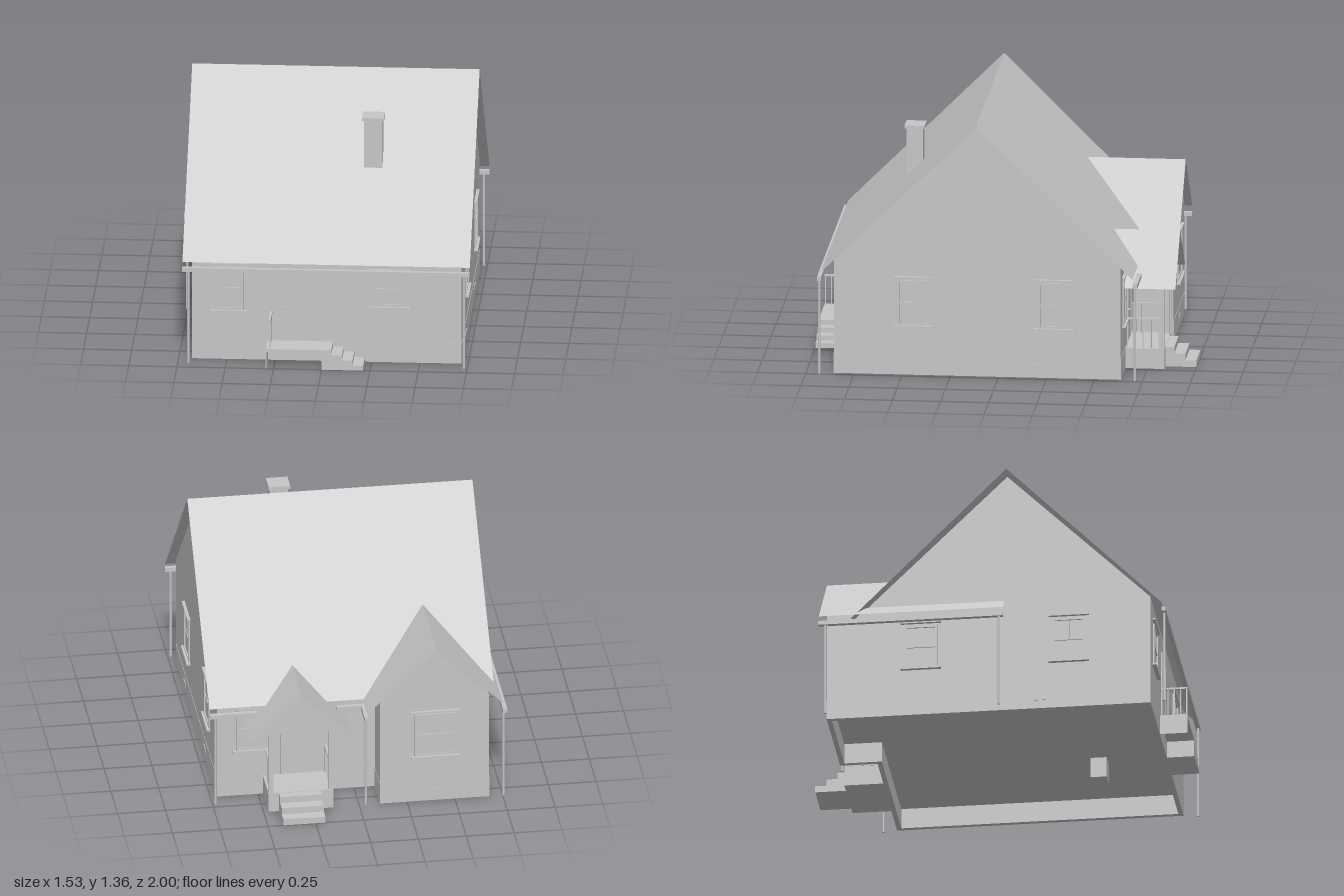
import * as THREE from 'three';

export function createModel() {
  const house = new THREE.Group();
  house.name = 'house';
  const grey = new THREE.MeshStandardMaterial({ color: 0xc6c6c6, side: THREE.DoubleSide });
  grey.name = 'plain grey';

  const add = (geometry, name, parent = house) => {
    const mesh = new THREE.Mesh(geometry, grey);
    mesh.name = name;
    parent.add(mesh);
    return mesh;
  };
  // box given by its lower and upper limits on each axis
  const box = (name, x0, x1, y0, y1, z0, z1, parent) => {
    const g = new THREE.BoxGeometry(x1 - x0, y1 - y0, z1 - z0);
    g.translate((x0 + x1) / 2, (y0 + y1) / 2, (z0 + z1) / 2);
    return add(g, name, parent);
  };
  const shapeOf = (pts) => new THREE.Shape(pts.map(([a, b]) => new THREE.Vector2(a, b)));
  const prism = (pts, depth) =>
    new THREE.ExtrudeGeometry(shapeOf(pts), { depth, bevelEnabled: false });

  // Main walls with gables at both ends
  const main = prism([[-0.855, 0.11], [0.635, 0.11], [0.635, 0.605], [-0.11, 1.33], [-0.855, 0.605]], 1.395);
  main.rotateY(Math.PI / 2).translate(-0.68, 0, 0);
  add(main, 'mainWalls');

  // Back wing walls
  const wing = prism([[-0.68, 0.11], [-0.11, 0.11], [-0.11, 0.595], [-0.395, 0.87], [-0.68, 0.595]], 0.46);
  add(wing.translate(0, 0, -0.83), 'wingWalls');

  // Hollow foundation, open underneath
  const outline = (d) => [
    [-0.682 + d, -0.857 + d], [0.717 - d, -0.857 + d], [0.717 - d, 0.637 - d],
    [-0.108 - d, 0.637 - d], [-0.108 - d, 0.832 - d], [-0.682 + d, 0.832 - d]];
  const ring = shapeOf(outline(0));
  ring.holes.push(new THREE.Path(outline(0.025).map(([a, b]) => new THREE.Vector2(a, b))));
  const foundation = new THREE.ExtrudeGeometry(ring, { depth: 0.11, bevelEnabled: false });
  add(foundation.rotateX(-Math.PI / 2), 'foundation');

  // Thin roof sheets: outline in plan (x, z), height by a rule
  const roof = (name, pts, height) => {
    const g = new THREE.ShapeGeometry(shapeOf(pts.map(([x, z]) => [x, -z])));
    const p = g.attributes.position;
    for (let i = 0; i < p.count; i++) {
      const x = p.getX(i), z = -p.getY(i);
      p.setXYZ(i, x, height(x, z), z);
    }
    g.computeVertexNormals();
    add(g, name);
  };
  const mainY = (x, z) => 1.355 - 0.998 * Math.abs(z - 0.11);
  const wingY = (x) => 0.895 - 0.97 * Math.abs(x + 0.4);
  const porchY = (x) => 0.7 - 0.96 * Math.abs(x - 0.31);
  for (const [name, z] of [['mainRoofFront', 0.92], ['mainRoofBack', -0.7]])
    roof(name, [[-0.727, 0.11], [0.763, 0.11], [0.763, z], [-0.727, z]], mainY);
  roof('wingRoofRight', [[-0.4, -0.865], [-0.4, -0.355], [-0.045, -0.7], [-0.045, -0.865]], wingY);
  roof('wingRoofLeft', [[-0.4, -0.865], [-0.4, -0.355], [-0.68, -0.63], [-0.68, 0.095],
    [-0.747, 0.095], [-0.747, -0.865]], wingY);
  for (const s of [-1, 1])
    roof(s < 0 ? 'porchRoofRight' : 'porchRoofLeft', [[0, -0.905], [0, -0.56], [0.16, -0.7], [0.16, -0.635],
      [0.26, -0.635], [0.26, -0.905]].map(([d, z]) => [0.31 + s * d, z]), porchY);

  // Chimney, running down through the floor
  box('chimney', 0.19, 0.285, 0, 1.205, 0.435, 0.52);
  box('chimneyCap', 0.18, 0.293, 1.203, 1.22, 0.425, 0.53);

  // Gutters
  for (const [x0, x1, z0, z1] of [
    [-0.727, 0.763, 0.918, 0.94], [0.52, 0.763, -0.725, -0.7], [-0.045, 0.1, -0.725, -0.7],
    [-0.77, -0.747, -0.865, 0.095], [-0.045, -0.025, -0.865, -0.7]])
    box('gutter', x0, x1, 0.5, 0.522, z0, z1);

  // Downspouts
  for (const [x, z] of [[-0.695, 0.93], [0.733, 0.93], [0.733, -0.71],
    [-0.755, -0.83], [-0.755, 0.075], [-0.035, -0.83]]) {
    const pipe = add(new THREE.CylinderGeometry(0.007, 0.007, 0.51, 8), 'downspout');
    pipe.position.set(x, 0.255, z);
  }

  // Groups whose local +z points out of the wall
  const onWall = (name, x, z, turn) => {
    const g = new THREE.Group();
    g.name = name;
    g.position.set(x, 0, z);
    g.rotation.y = turn * Math.PI / 2;
    house.add(g);
    return g;
  };
  const frame = (g, w, y0, y1) => {
    const h = w / 2;
    box('frameSide', -h, -h + 0.012, y0, y1, 0, 0.008, g);
    box('frameSide', h - 0.012, h, y0, y1, 0, 0.008, g);
    box('frameTop', -h, h, y1 - 0.012, y1, 0, 0.008, g);
  };
  const windowAt = (x, z, turn, w, y0, y1) => {
    const g = onWall('window', x, z, turn);
    const h = w / 2, mid = (y0 + y1) / 2;
    frame(g, w, y0, y1);
    box('sill', -h - 0.02, h + 0.02, y0 - 0.01, y0, 0, 0.02, g);
    box('lintel', -h - 0.02, h + 0.02, y1 + 0.012, y1 + 0.02, 0, 0.016, g);
    box('lowerRail', -h, h, y0, y0 + 0.01, 0, 0.006, g);
    box('meetingRail', -h, h, mid - 0.005, mid + 0.005, 0, 0.006, g);
    box('glazingBar', -0.003, 0.003, mid, y1, 0, 0.004, g);
  };
  windowAt(-0.49, 0.855, 0, 0.15, 0.27, 0.505);
  windowAt(0.345, 0.855, 0, 0.17, 0.305, 0.487);
  windowAt(0.715, 0.44, 1, 0.17, 0.265, 0.505);
  windowAt(0.715, -0.29, 1, 0.17, 0.265, 0.505);
  windowAt(-0.68, 0.43, -1, 0.17, 0.265, 0.505);
  windowAt(-0.68, -0.34, -1, 0.17, 0.265, 0.505);
  windowAt(-0.4, -0.83, 2, 0.22, 0.265, 0.505);
  windowAt(0.54, -0.635, 2, 0.15, 0.265, 0.505);

  // Doors
  for (const [x, z, turn] of [[-0.147, 0.855, 0], [0.3, -0.635, 2]]) {
    const g = onWall('door', x, z, turn);
    frame(g, 0.165, 0.11, 0.495);
    box('doorPanel', -0.068, 0.068, 0.115, 0.483, 0, 0.004, g);
    const knob = add(new THREE.SphereGeometry(0.006, 10, 8), 'doorKnob', g);
    knob.position.set(-0.06, 0.285, 0.01);
  }

  // Foundation vents
  for (const [x, z, turn] of [[0.717, 0.52, 1], [0.717, -0.21, 1], [-0.682, 0.28, -1], [-0.4, -0.832, 2]])
    box('vent', -0.03, 0.03, 0.045, 0.07, 0, 0.004, onWall('ventGroup', x, z, turn));

  // Railing running along z
  const railing = (x, z0, z1) => {
    box('handrail', x - 0.006, x + 0.006, 0.258, 0.268, z0, z1);
    for (let i = 0; i < 5; i++) {
      const z = z0 + 0.005 + (z1 - z0 - 0.01) * i / 4;
      box('baluster', x - 0.003, x + 0.003, 0.105, 0.26, z - 0.003, z + 0.003);
    }
  };

  // Front stoop with side steps
  box('stoopSlab', -0.29, 0.05, 0.09, 0.107, 0.855, 1);
  box('stoopSide', -0.29, -0.286, 0, 0.107, 0.855, 1);
  box('stoopBase', 0, 0.05, 0, 0.09, 0.857, 1);
  for (let i = 0; i < 3; i++)
    box('stoopStep', 0.05 + i * 0.055, 0.105 + i * 0.055, 0, 0.08 - i * 0.027, 0.857, 1);
  railing(-0.27, 0.86, 1);

  // Back porch
  box('porchDeck', 0.135, 0.475, 0, 0.107, -0.84, -0.637);
  for (let i = 0; i < 3; i++)
    box('porchStep', 0.2, 0.42, 0, 0.105 - i * 0.035, -0.885 - i * 0.0575, -0.84);
  for (const x of [0.15, 0.46]) {
    box('porchPost', x - 0.011, x + 0.011, 0.1, 0.46, -0.836, -0.814);
    box('porchBeam', x - 0.011, x + 0.011, 0.45, 0.475, -0.84, -0.635);
    railing(x, -0.815, -0.64);
  }
  box('porchCrossBeam', 0.08, 0.54, 0.447, 0.47, -0.838, -0.816);
  const gable = prism([[0.07, 0.46], [0.55, 0.46], [0.31, 0.69]], 0.008);
  add(gable.translate(0, 0, -0.84), 'porchGable');

  return house;
}
